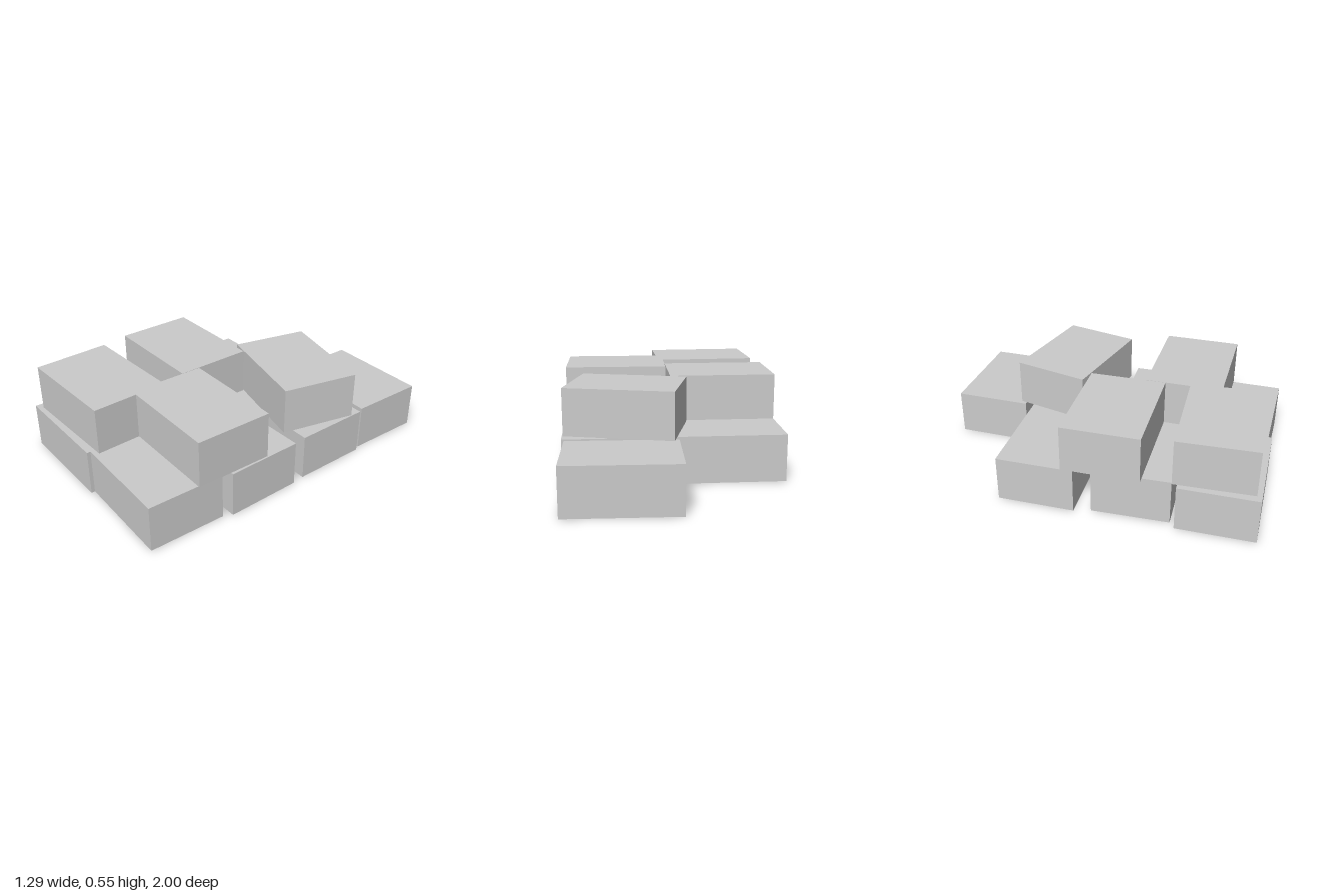
import * as THREE from 'three';

// One carton size, stacked in two loose layers
const W = 0.635, H = 0.275, D = 0.455;

// [name, centre x, centre z, turn in degrees]
const lowerLayer = [
  ['lowerFrontRightBox', -0.328, 0.77, 0],
  ['lowerFrontLeftBox', 0.291, 0.757, -1.6],
  ['lowerMiddleRightBox', -0.293, 0.275, 1.6],
  ['lowerMiddleLeftBox', 0.32, 0.264, 0.7],
  ['lowerRearRightBox', -0.328, -0.267, 0],
  ['lowerRearLeftBox', 0.308, -0.272, 0],
  ['lowerBackBox', 0.297, -0.766, -1.4],
];
const upperLayer = [
  ['upperFrontRightBox', -0.29, 0.73, 1.9],
  ['upperFrontLeftBox', 0.307, 0.46, -0.9],
  ['upperMiddleRightBox', -0.328, 0.117, 0],
  ['upperTurnedBox', 0.257, -0.284, -13.8],
];

export function createModel() {
  const group = new THREE.Group();
  group.name = 'boxStack';
  const geometry = new THREE.BoxGeometry(W, H, D);
  const material = new THREE.MeshStandardMaterial({ color: 0xcccccc, flatShading: true });

  [lowerLayer, upperLayer].forEach((layer, level) => {
    for (const [name, x, z, turn] of layer) {
      const box = new THREE.Mesh(geometry, material);
      box.name = name;
      box.position.set(x, H * (level + 0.5), z);
      box.rotation.y = THREE.MathUtils.degToRad(turn);
      group.add(box);
    }
  });
  return group;
}
